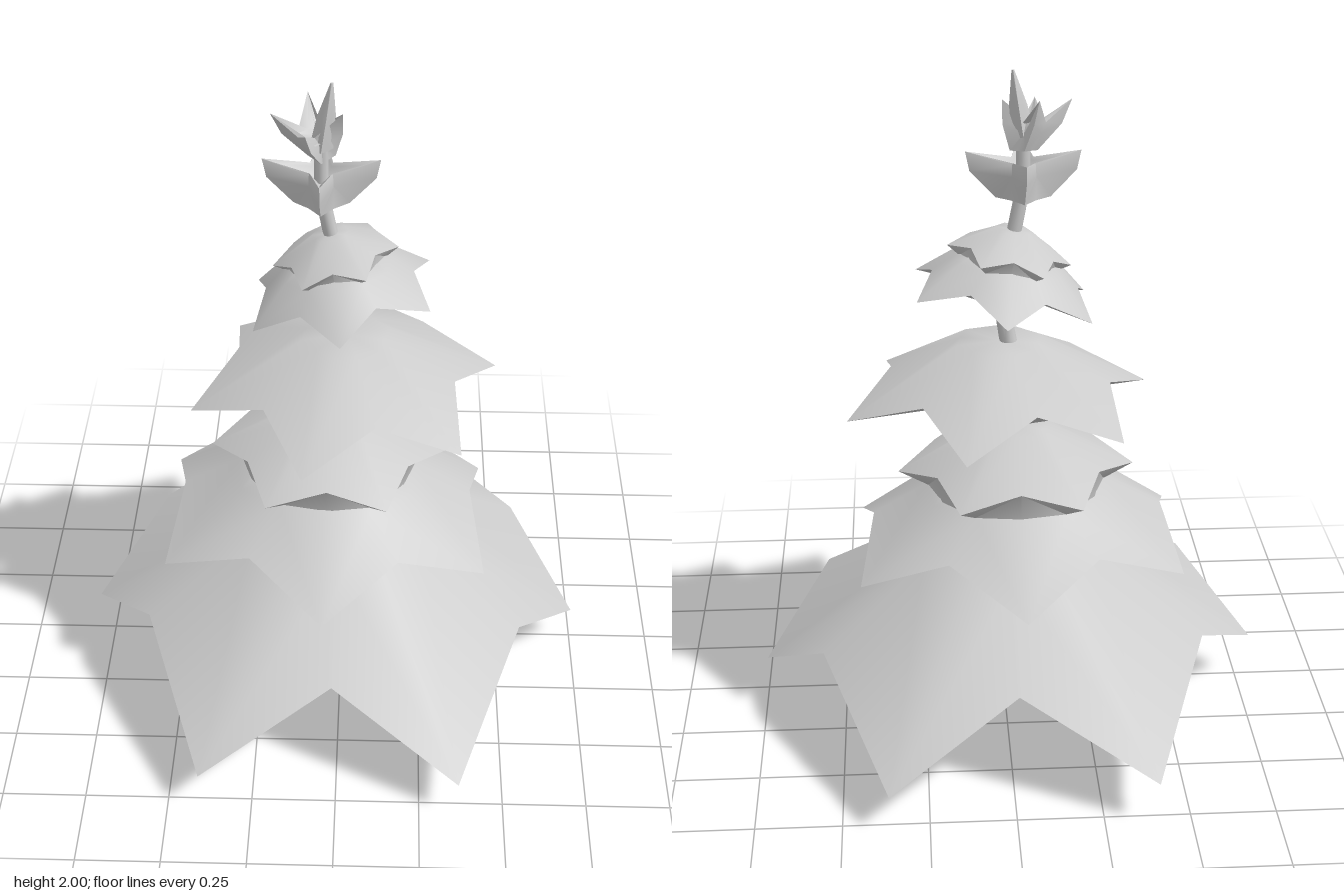
import * as THREE from 'three';
import { toCreasedNormals } from 'three/addons/utils/BufferGeometryUtils.js';

const material = new THREE.MeshStandardMaterial({ color: 0xcccccc });

// Closed loft through star-shaped rings, listed from the top surface round to the underside.
// ring: [tip radius, tip y, valley radius, valley y, centre x]; valley radius defaults to a straight-sided polygon
// stretch: [x, z] factors for the tips and for the valleys
function starLoft(points, rings, stretch = { tip: [1, 1], valley: [1, 1] }) {
  const count = points * 2, pos = [], index = [];
  const flat = Math.cos(Math.PI / points);
  for (const [rt, yt, rv = rt * flat, yv = yt, cx = 0] of rings) {
    for (let i = 0; i < count; i++) {
      const a = (i / count) * Math.PI * 2, tip = i % 2 === 0, r = tip ? rt : rv;
      const [sx, sz] = tip ? stretch.tip : stretch.valley;
      pos.push(cx + r * sx * Math.cos(a), tip ? yt : yv, r * sz * Math.sin(a));
    }
  }
  const top = rings[0], bottom = rings[rings.length - 1];
  const topC = pos.length / 3, bottomC = topC + 1;
  pos.push(top[4] ?? 0, top[1], 0, bottom[4] ?? 0, bottom[1], 0);
  const last = (rings.length - 1) * count;
  for (let i = 0; i < count; i++) {
    const j = (i + 1) % count;
    index.push(topC, j, i, bottomC, last + i, last + j);
    for (let k = 0; k < rings.length - 1; k++) {
      const a = k * count + i, b = k * count + j, c = a + count, d = b + count;
      // mirror the diagonal on either side of each ridge
      if (i % 2 === 0) index.push(a, b, c, b, d, c);
      else index.push(a, b, d, a, d, c);
    }
  }
  const g = new THREE.BufferGeometry();
  g.setAttribute('position', new THREE.Float32BufferAttribute(pos, 3));
  g.setIndex(index);
  return toCreasedNormals(g, 0.8);
}

// Place a star layer: spin turns it about its axis, tilt raises its +x side, pitch raises its back
function layer(name, points, rings, { x = 0, y = 0, z = 0, spin = 0, tilt = 0, pitch = 0, sx = 1, stretch }) {
  const g = starLoft(points, rings, stretch);
  g.rotateY(-spin);
  g.scale(sx, 1, 1);
  const mesh = new THREE.Mesh(g, material);
  mesh.name = name;
  mesh.position.set(x, y, z);
  mesh.rotation.set(pitch, 0, tilt);
  return mesh;
}

export function createModel() {
  const tree = new THREE.Group();
  tree.name = 'tree';
  const deg = Math.PI / 180;

  // Bent, tapering trunk: [y, centre x, radius]
  const trunkRings = [
    [1.8, -0.06, 0.02], [1.66, -0.06, 0.021], [1.53, -0.035, 0.022], [1.42, -0.005, 0.022],
    [1.28, 0.0, 0.024], [1.19, -0.015, 0.026], [1.05, -0.045, 0.029], [0.9, -0.04, 0.031],
    [0.6, -0.01, 0.037], [0.3, 0.05, 0.043], [0, 0.117, 0.048],
  ].map(([y, cx, r]) => [r, y, r, y, cx]);
  const trunk = new THREE.Mesh(starLoft(5, trunkRings), material);
  trunk.name = 'trunk';
  tree.add(trunk);

  // Broad branch layers, bottom to top
  tree.add(
    layer('bottomBranches', 6, [
      [0.17, 0.47], [0.29, 0.395, 0.29, 0.395], [0.86, 0, 0.63, 0.185], [0.37, 0.035, 0.36],
    ], {
      x: -0.02, y: 0.125, tilt: -0.02,
      stretch: { tip: [0.895, 1.06], valley: [1.05, 0.94] },
    }),
    layer('lowerBranches', 6, [
      [0.2, 0.27], [0.28, 0.2, 0.26, 0.21], [0.525, 0, 0.415, 0.115], [0.28, 0.01],
    ], { x: -0.047, y: 0.503, z: 0.012, spin: 30 * deg, tilt: -0.015, sx: 1.07 }),
    layer('lowerCollar', 6, [
      [0.11, 0.145], [0.36, 0, 0.28, 0.04], [0.27, -0.05, 0.265, -0.045], [0.2, -0.08],
    ], { x: -0.04, y: 0.762, tilt: -0.015 }),
    layer('middleBranches', 6, [
      [0.135, 0.195], [0.475, 0, 0.335, 0.085], [0.22, 0],
    ], { x: 0.01, y: 0.987, spin: 44 * deg }),
    layer('upperBranches', 6, [
      [0.1, 0.15], [0.16, 0.11, 0.15, 0.11], [0.28, 0, 0.205, 0.055], [0.13, 0.01],
    ], { x: 0, y: 1.32, z: 0.005, spin: 30 * deg, tilt: 0.15, sx: 1.06 }),
    layer('upperCollar', 6, [
      [0.055, 0.08], [0.185, 0, 0.14, 0.025], [0.145, -0.025, 0.135, -0.02], [0.09, -0.045],
    ], { x: -0.02, y: 1.45, tilt: 0.19 }),
  );

  // Upturned leaf cups at the crown
  tree.add(
    layer('lowerCup', 4, [
      [0.02, 0.07, 0.02, 0.07], [0.065, 0.09, 0.04, 0.1], [0.115, 0.12, 0.045, 0.11],
      [0.167, 0.138, 0.048, 0.105], [0.155, 0.08, 0.05, 0.07], [0.08, 0, 0.05, 0],
    ], { x: -0.06, y: 1.627 }),
    layer('upperCup', 4, [
      [0.02, 0.06, 0.02, 0.06], [0.055, 0.075, 0.03, 0.075, -0.015], [0.1, 0.145, 0.032, 0.08, -0.04],
      [0.085, 0.075, 0.035, 0.05, -0.025], [0.04, 0, 0.028, 0],
    ], { x: -0.06, y: 1.77, z: -0.015, pitch: 0.2 }),
  );

  // Leaning spire
  tree.add(layer('spire', 4, [
    [0.004, 2.0, 0.004, 2.0, -0.03], [0.026, 1.9, 0.02, 1.9, -0.045], [0.034, 1.8, 0.026, 1.8, -0.06],
  ], {}));

  return tree;
}
